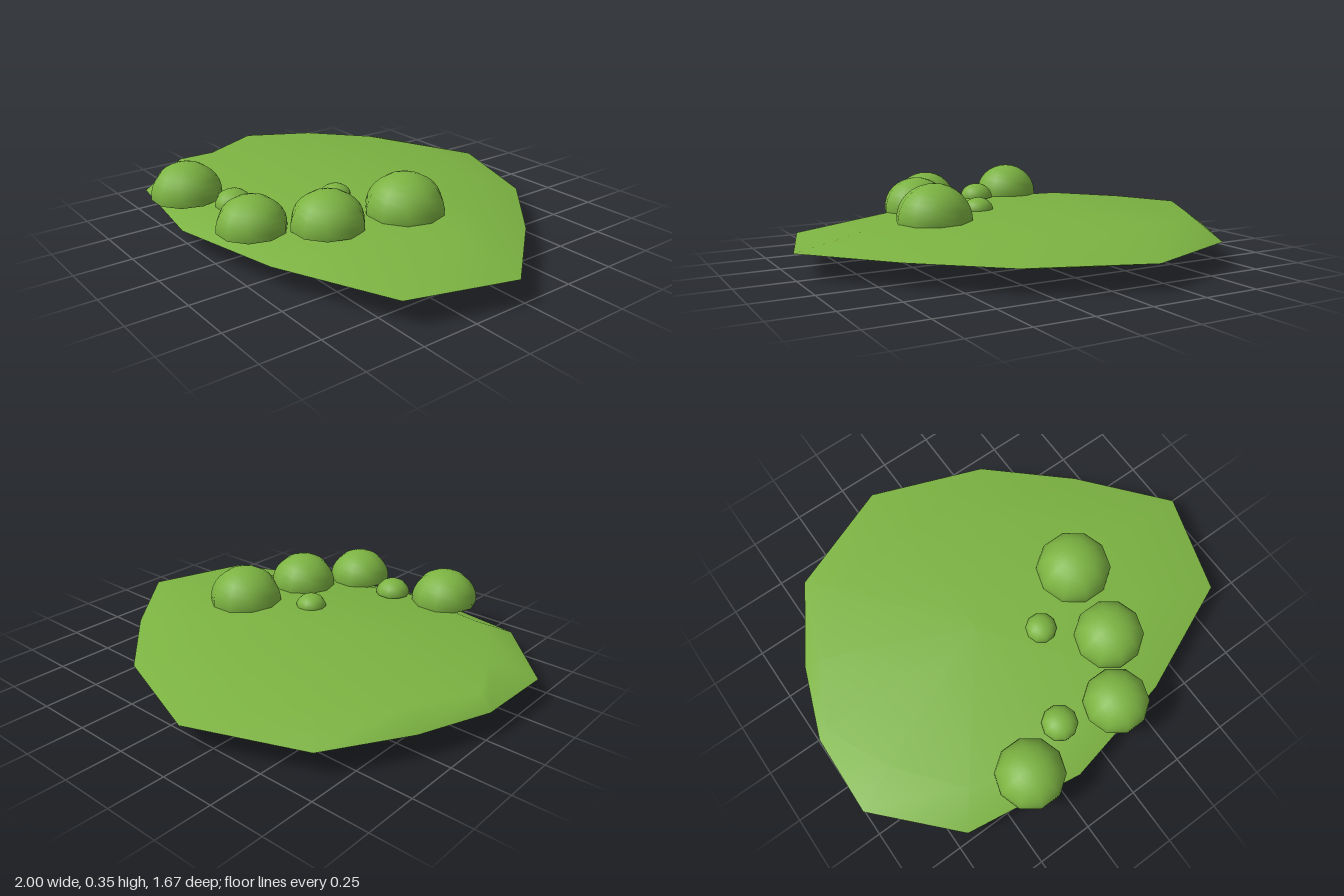
import * as THREE from 'three';

const leafGreen = new THREE.MeshStandardMaterial({ color: 0x7cb342 });
leafGreen.name = 'leafGreen';

// Irregular rim of the pad as [x, z], clockwise seen from above, starting at the back
const rim = [
  [-0.16, -0.84], [0.35, -0.65], [0.69, -0.34], [1.0, 0.03], [0.86, 0.48], [0.35, 0.70],
  [-0.16, 0.81], [-0.69, 0.73], [-1.0, 0.40], [-0.99, 0.03], [-0.87, -0.29], [-0.66, -0.64],
];
const centre = [-0.16, 0.03];
const rimY = 0.11;

// One half of the pad: sharp rim, an inner ring, then a pole
function padHalf(name, ringScales, ringY, poleY, up) {
  const n = rim.length;
  const positions = [];
  rim.forEach(([x, z]) => positions.push(x, rimY, z));
  rim.forEach(([x, z], i) => {
    const s = ringScales[i];
    positions.push(centre[0] + (x - centre[0]) * s, ringY, centre[1] + (z - centre[1]) * s);
  });
  positions.push(centre[0], poleY, centre[1]);
  const index = [];
  const tri = (a, b, c) => (up ? index.push(a, b, c) : index.push(a, c, b));
  for (let i = 0; i < n; i++) {
    const j = (i + 1) % n;
    tri(j, i, n + i);
    tri(j, n + i, n + j);
    tri(n + j, n + i, 2 * n);
  }
  const geometry = new THREE.BufferGeometry();
  geometry.setAttribute('position', new THREE.Float32BufferAttribute(positions, 3));
  geometry.setIndex(index);
  geometry.computeVertexNormals();
  const mesh = new THREE.Mesh(geometry, leafGreen);
  mesh.name = name;
  return mesh;
}

// Ten-sided dome that tucks in slightly above a flat base
function dome(name, x, z, r, topY) {
  const group = new THREE.Group();
  group.name = name;
  const midY = 0.195;
  const sy = (topY - midY) / r;
  const arc = Math.PI * 0.53;
  const cap = new THREE.Mesh(new THREE.SphereGeometry(r, 10, 8, 0, Math.PI * 2, 0, arc), leafGreen);
  cap.name = name + 'Cap';
  cap.scale.y = sy;
  cap.position.y = midY;
  const base = new THREE.Mesh(new THREE.CircleGeometry(r * Math.sin(arc), 10), leafGreen);
  base.name = name + 'Base';
  base.rotation.x = Math.PI / 2;
  base.position.y = midY + r * Math.cos(arc) * sy;
  group.add(cap, base);
  group.position.set(x, 0, z);
  return group;
}

export function createModel() {
  const model = new THREE.Group();
  model.name = 'mossyPad';

  // Flat pad
  model.add(padHalf('padTop',
    [0.64, 0.68, 0.70, 0.72, 0.70, 0.75, 0.79, 0.80, 0.77, 0.94, 0.88, 0.75], 0.18, 0.203, true));
  model.add(padHalf('padUnderside',
    [0.65, 0.65, 0.65, 0.65, 0.68, 0.70, 0.75, 0.75, 0.75, 0.80, 0.75, 0.70], 0.04, 0.003, false));

  // Domes: x, z, radius, top height
  [
    [0.37, 0.055, 0.17, 0.35],
    [0.305, 0.40, 0.155, 0.335],
    [0.145, 0.655, 0.145, 0.325],
    [-0.34, 0.69, 0.153, 0.335],
    [-0.11, 0.59, 0.08, 0.26],
    [0.08, 0.20, 0.07, 0.25],
  ].forEach((d, i) => model.add(dome('dome' + (i + 1), ...d)));

  return model;
}
